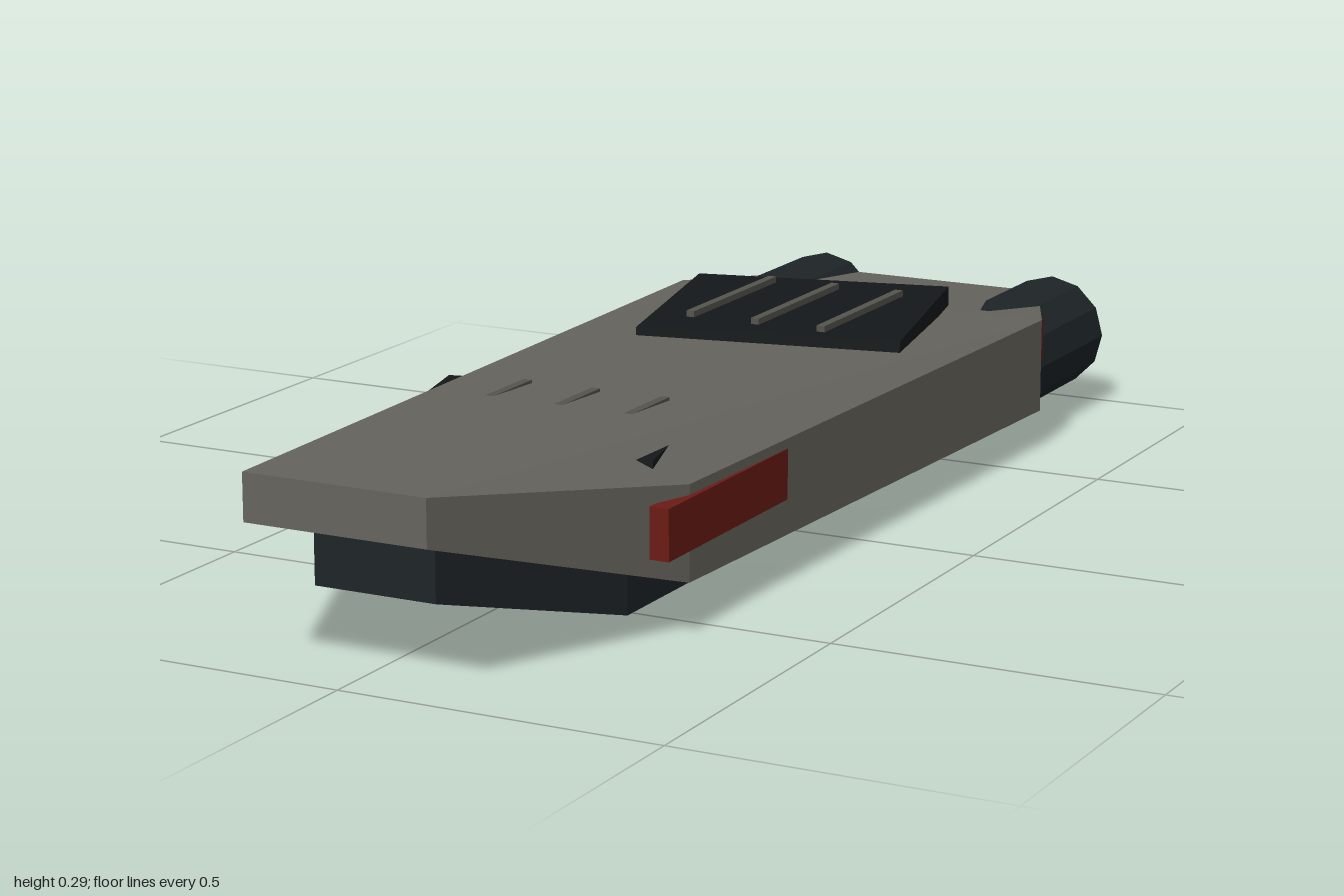
import * as THREE from 'three';

const paint = (color) => new THREE.MeshStandardMaterial({ color, flatShading: true });
const hullGrey = paint(0x66645d);
const dark = paint(0x1e2427);
const black = paint(0x14181a);
const nozzleBlack = paint(0x0d1012);
const red = paint(0x6b1b16);
const ribGrey = paint(0x55554f);

// Four-cornered loft, front to back; each section is [z, halfWidth, bottomY, topY].
// The deck runs flat from nose to widest section, with a sloping triangle each side.
function hullGeometry(sections) {
  const points = sections.flatMap(([z, w, b, t]) => [w, b, z, w, t, z, -w, t, z, -w, b, z]);
  const index = [];
  const quad = (a, b, c, d) => index.push(a, b, c, a, c, d);
  for (let i = 0; i < sections.length - 1; i++) {
    for (let j = 0; j < 4; j++) {
      if (j === 1 && i < 2) continue;
      const k = (j + 1) % 4, a = i * 4, n = a + 4;
      quad(a + j, n + j, n + k, a + k);
    }
  }
  quad(1, 9, 10, 2);
  index.push(1, 5, 9, 2, 10, 6);
  quad(0, 1, 2, 3);
  const e = (sections.length - 1) * 4;
  quad(e + 3, e + 2, e + 1, e);
  const indexed = new THREE.BufferGeometry();
  indexed.setAttribute('position', new THREE.Float32BufferAttribute(points, 3));
  indexed.setIndex(index);
  const geometry = indexed.toNonIndexed();
  geometry.computeVertexNormals();
  return geometry;
}

export function createModel() {
  const model = new THREE.Group();
  model.name = 'shuttle';

  const add = (name, geometry, material, x = 0, y = 0, z = 0) => {
    const mesh = new THREE.Mesh(geometry, material);
    mesh.name = name;
    mesh.position.set(x, y, z);
    model.add(mesh);
    return mesh;
  };

  // Upper hull
  add('upperHull', hullGeometry([
    [1.0, 0.145, 0.217, 0.288],
    [0.545, 0.3, 0.073, 0.217],
    [-0.65, 0.335, 0.062, 0.216],
    [-0.98, 0.19, 0.1, 0.186],
  ]), hullGrey);

  // Keel
  add('keel', hullGeometry([
    [0.9, 0.097, 0.108, 0.184],
    [0.52, 0.187, 0.002, 0.075],
    [-0.65, 0.192, 0, 0.075],
    [-0.85, 0.13, 0.003, 0.105],
  ]), dark);

  // Deck panels with three ribs; the front one is mostly sunk into the deck
  for (const [end, z] of [['rear', -0.415], ['front', 0.415]]) {
    const panel = add(end + 'Panel', new THREE.BoxGeometry(0.43, 0.032, 0.42), black, -0.003, 0.235, z);
    panel.rotation.y = 0.234;
    for (const x of [-0.117, 0, 0.117]) {
      add(end + 'PanelRib', new THREE.BoxGeometry(0.014, 0.03, 0.3), ribGrey, x - 0.003, 0.246, z);
    }
  }

  for (const [side, s] of [['left', 1], ['right', -1]]) {
    // Side lights
    for (const [end, z] of [['front', 0.437], ['rear', -0.532]]) {
      add(side + end + 'SideLight', new THREE.BoxGeometry(0.03, 0.077, 0.375), red, s * 0.294, 0.163, z);
    }

    // Engines and nozzles
    const engine = add(side + 'Engine', new THREE.CylinderGeometry(0.095, 0.095, 0.295, 12), dark, s * 0.217, 0.12, -0.8325);
    engine.rotation.x = Math.PI / 2;
    const nozzle = add(side + 'Nozzle', new THREE.CylinderGeometry(0.067, 0.067, 0.04, 12), nozzleBlack, s * 0.217, 0.12, -0.98);
    nozzle.rotation.x = Math.PI / 2;
  }

  return model;
}
